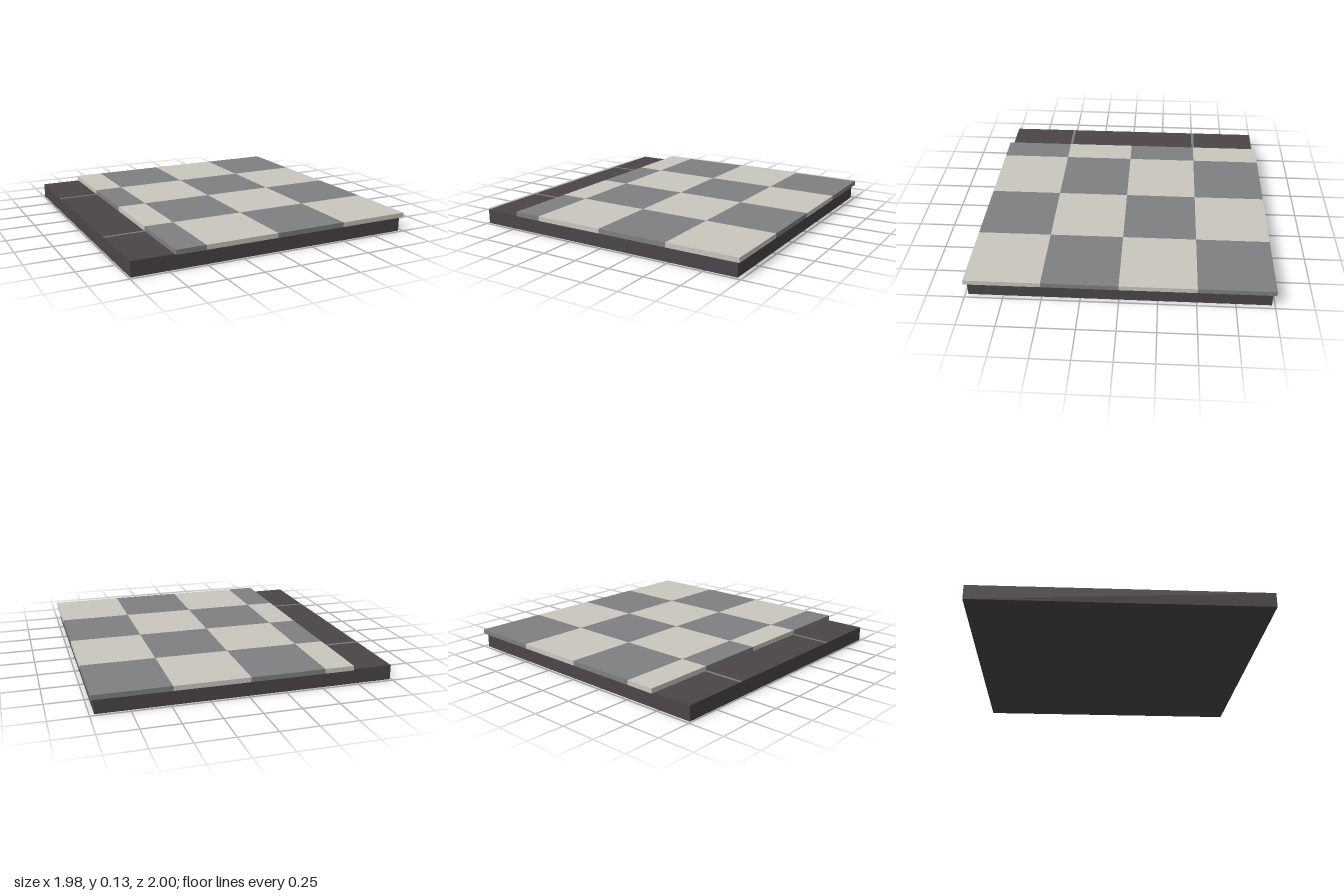
import * as THREE from 'three';

const baseMat = new THREE.MeshStandardMaterial({ name: 'dark base', color: 0x4b4548 });
const lightMat = new THREE.MeshStandardMaterial({ name: 'light stone', color: 0xcac7be });
const greyMat = new THREE.MeshStandardMaterial({ name: 'grey stone', color: 0x7e8081 });

// Box given by its minimum and maximum corners
function block(name, material, [x0, y0, z0], [x1, y1, z1]) {
  const mesh = new THREE.Mesh(new THREE.BoxGeometry(x1 - x0, y1 - y0, z1 - z0), material);
  mesh.position.set((x0 + x1) / 2, (y0 + y1) / 2, (z0 + z1) / 2);
  mesh.name = name;
  return mesh;
}

export function createModel() {
  const model = new THREE.Group();
  model.name = 'tiledStep';

  // Solid base, left bare along the -x edge
  model.add(block('base', baseMat, [-0.99, 0, -0.98], [0.97, 0.1, 0.98]));

  // Checkered tiles overhanging the base; the first column is cut narrow
  const tiles = new THREE.Group();
  tiles.name = 'tiles';
  const xs = [-0.71, -0.51, -0.01, 0.49, 0.99];
  const zs = [-1, -0.5, 0, 0.5, 1];
  for (let i = 0; i < 4; i++) {
    for (let j = 0; j < 4; j++) {
      const material = (i + j) % 2 ? greyMat : lightMat;
      tiles.add(block('tile', material, [xs[i], 0.1, zs[j]], [xs[i + 1], 0.132, zs[j + 1]]));
    }
  }
  model.add(tiles);

  // Thin joint lines across the bare edge
  for (const z of [-0.5, 0.5]) {
    model.add(block('jointLine', greyMat, [-0.99, 0.099, z - 0.01], [-0.71, 0.1005, z + 0.01]));
  }
  return model;
}
